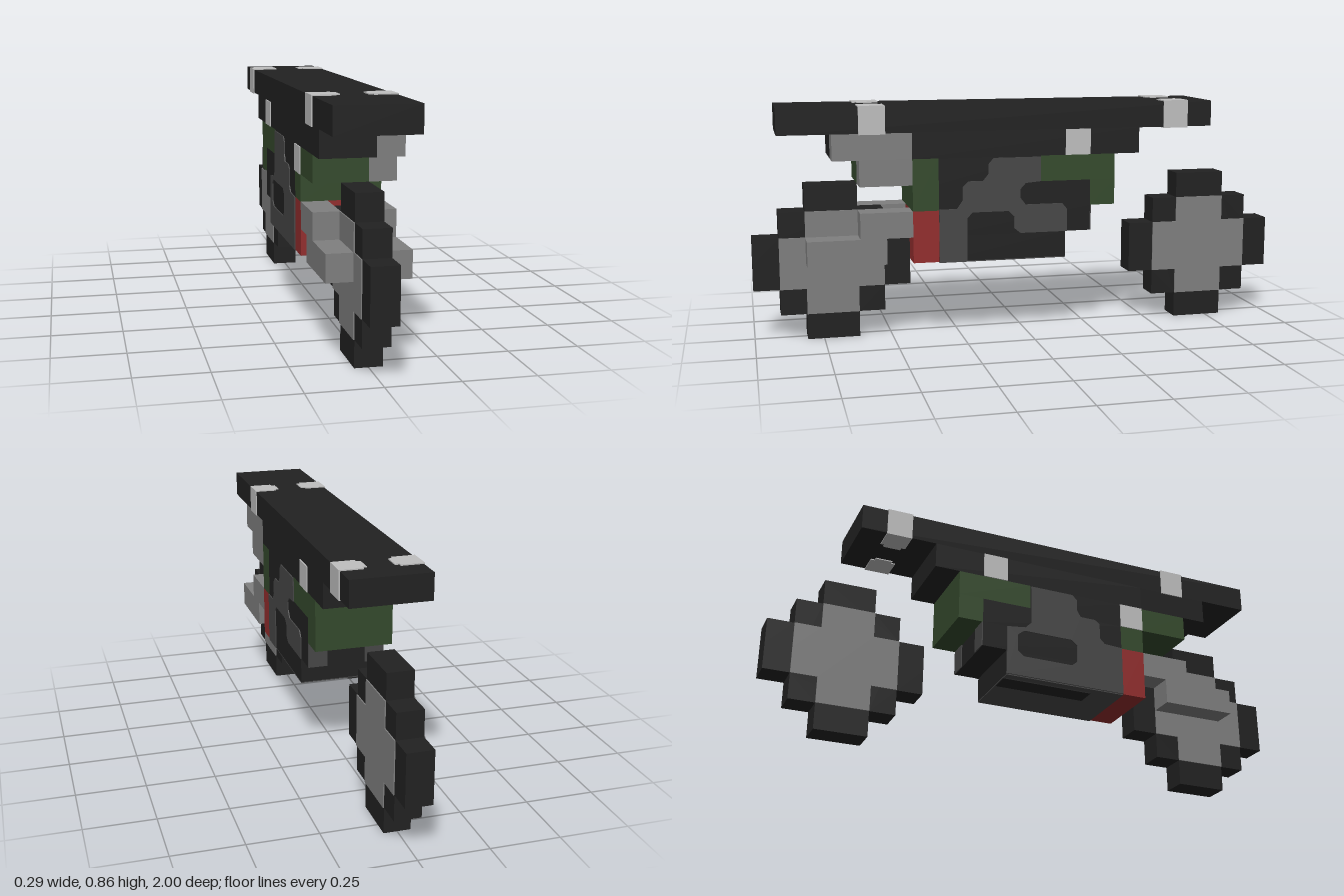
import * as THREE from 'three';

const U = 2 / 21;                 // one block
const SKIN = 0.004;               // how far painted plates stand proud
const Z = (k) => 1 - k * U;       // blocks counted from the front
const HALF = 1.5 * U;

const mat = (name, color) => {
  const m = new THREE.MeshStandardMaterial({ color });
  m.name = name;
  return m;
};

export function createModel() {
  const black = mat('black', 0x222222);
  const charcoal = mat('charcoal', 0x484848);
  const grey = mat('grey', 0x808080);
  const pale = mat('pale grey', 0xc0c0c0);
  const green = mat('green', 0x354b2d);
  const red = mat('red', 0x942e2e);

  const model = new THREE.Group();
  model.name = 'blockBike';

  const add = (name, geometry, material, parent = model) => {
    const mesh = new THREE.Mesh(geometry, material);
    mesh.name = name;
    parent.add(mesh);
    return mesh;
  };

  // Box in block units: columns x (0..3), rows y, slices k from the front
  const block = (name, m, [x0, x1], [y0, y1], [k0, k1], parent) => {
    const g = new THREE.BoxGeometry((x1 - x0) * U, (y1 - y0) * U, (k1 - k0) * U);
    g.translate(((x0 + x1) / 2 - 1.5) * U, ((y0 + y1) / 2) * U, Z((k0 + k1) / 2));
    return add(name, g, m, parent);
  };

  // Outline drawn in (z, y), extruded across x from x0 to x1
  const toShape = (pts) => new THREE.Shape(pts.map(([a, b]) => new THREE.Vector2(a, b)));
  const slab = (name, m, shape, x0, x1, parent) => {
    const g = new THREE.ExtrudeGeometry(shape, { depth: x1 - x0, bevelEnabled: false });
    g.rotateY(-Math.PI / 2);
    g.translate(x1, 0, 0);
    return add(name, g, m, parent);
  };

  // Seat plank and the step below it
  block('plank', black, [0, 3], [8, 9], [1, 18]);
  block('plankSupport', black, [0, 3], [7, 8], [6, 15]);
  block('frontSupport', black, [0, 2], [7, 8], [3, 6]);

  // Pale pads wrapping the plank edges, with clipped inner corners
  for (const k of [4, 16]) {
    for (const s of [-1, 1]) {
      const a = HALF + SKIN, b = U / 2, c = 0.015;
      const z0 = U / 2;
      const pts = [[a, -z0], [a, z0], [b + c, z0], [b + c, z0 - c], [b, z0 - c],
        [b, c - z0], [b + c, c - z0], [b + c, -z0]].map(([x, z]) => [x * s, z]);
      const g = new THREE.ExtrudeGeometry(toShape(pts), { depth: U + 2 * SKIN, bevelEnabled: false });
      g.rotateX(-Math.PI / 2);
      g.translate(0, 8 * U - SKIN, Z(k + 0.5));
      add('plankPad', g, pale);
    }
  }

  // Small pale side panels
  const panel = (name, m, s, rows, ks) => {
    const p = block(name, m, [1.5, 1.5 + SKIN * 2 / U], rows, ks);
    p.position.x = s > 0 ? HALF - SKIN : -HALF - SKIN;
  };
  panel('sidePanel', pale, 1, [7, 8], [12, 13]);
  panel('sidePanel', pale, -1, [7, 8], [12, 13]);
  panel('sidePanel', pale, -1, [6, 7], [6, 7]);

  // Engine body
  block('bodyTop', black, [0, 3], [6, 7], [7, 11]);
  block('bodyUpper', black, [0, 3], [5, 6], [7, 13]);
  block('bodyMiddle', black, [0, 3], [4, 5], [7, 13]);
  block('bodyBottom', black, [0, 3], [3, 4], [7, 12]);
  block('noseGreen', green, [0, 3], [5, 7], [6, 7]);
  block('noseRed', red, [0, 3], [3, 5], [6, 7]);
  block('tailGreen', green, [0, 3], [6, 7], [11, 14]);
  block('tailGreenDrop', green, [0, 3], [5, 6], [13, 14]);

  // Front handle: green on one side, grey lamp block on the other
  block('handle', green, [0, 2], [6, 7], [4, 6]);
  block('lampUpper', grey, [2, 3], [7, 8], [3, 6]);
  block('lampLower', grey, [2, 3], [6, 7], [4, 6]);

  // Stepped fork arms
  for (const x of [0, 2]) {
    block('forkArm', grey, [x, x + 1], [4, 5], [4, 6]);
    block('forkTip', grey, [x, x + 1], [3, 4], [2, 5]);
  }

  // Painted camouflage on the body sides
  const leftCamo = toShape([
    [0.333, 0.286], [0.333, 0.48], [0.267, 0.48], [0.246, 0.51], [0.246, 0.56], [0.225, 0.58],
    [0.17, 0.58], [0.15, 0.604], [0.15, 0.64], [0.13, 0.663], [-0.048, 0.663], [-0.048, 0.572],
    [0.01, 0.567], [0.03, 0.545], [0.03, 0.513], [0.01, 0.487], [-0.13, 0.487], [-0.148, 0.465],
    [-0.148, 0.381], [0.03, 0.381], [0.053, 0.4], [0.053, 0.444], [0.075, 0.465],
    [0.21, 0.465], [0.23, 0.444], [0.23, 0.286],
  ]);
  slab('leftCamo', charcoal, leftCamo, HALF - SKIN, HALF + SKIN);

  const rightCamo = toShape([
    [0.333, 0.286], [0.333, 0.476], [0.26, 0.48], [0.24, 0.5], [0.24, 0.56], [0.22, 0.575],
    [0.16, 0.575], [0.145, 0.6], [0.145, 0.645], [0.125, 0.663], [-0.045, 0.663],
    [-0.045, 0.51], [-0.07, 0.485], [-0.143, 0.476], [-0.143, 0.286],
  ]);
  rightCamo.holes.push(new THREE.Path([
    [0.12, 0.365], [0.143, 0.385], [0.143, 0.45], [0.12, 0.47],
    [-0.075, 0.47], [-0.1, 0.45], [-0.1, 0.385], [-0.075, 0.365],
  ].map(([a, b]) => new THREE.Vector2(a, b))));
  slab('rightCamo', charcoal, rightCamo, -HALF - SKIN, -HALF + SKIN);

  // Camouflage on the underside and tail end
  const e = SKIN / U;
  block('bellyCamo', charcoal, [0, 3], [3 - e, 3], [7, 12]);
  block('bellyStripe', black, [0.3, 1.1], [3 - 2 * e, 3 - e], [8.3, 12]);
  for (const x of [0, 2.25]) block('tailCamo', charcoal, [x, x + 0.75], [4, 5], [13, 13 + e]);

  // Stepped wheels with a grey cross-shaped hub on both faces
  const steps = (widths) => {
    // widths: half widths per row, bottom to top, in blocks
    const right = [], left = [];
    const h = widths.length / 2;
    widths.forEach((w, i) => {
      right.push([w * U, (i - h) * U], [w * U, (i + 1 - h) * U]);
      left.unshift([-w * U, (i + 1 - h) * U], [-w * U, (i - h) * U]);
    });
    const pts = [...right, ...left];
    return toShape(pts.filter((p, i) => {
      const q = pts[(i + 1) % pts.length];
      return Math.hypot(p[0] - q[0], p[1] - q[1]) > 1e-6;
    }));
  };
  const wheel = (name, k) => {
    const group = new THREE.Group();
    group.name = name;
    group.position.set(0, 3 * U, Z(k));
    slab('tyre', black, steps([1, 2, 3, 3, 2, 1]), -U / 2, U / 2, group);
    for (const s of [-1, 1]) {
      const x = s * U / 2;
      slab('hub', grey, steps([1, 2, 2, 1]), x - SKIN, x + SKIN, group);
    }
    model.add(group);
  };
  wheel('frontWheel', 3);
  wheel('rearWheel', 18);

  return model;
}
